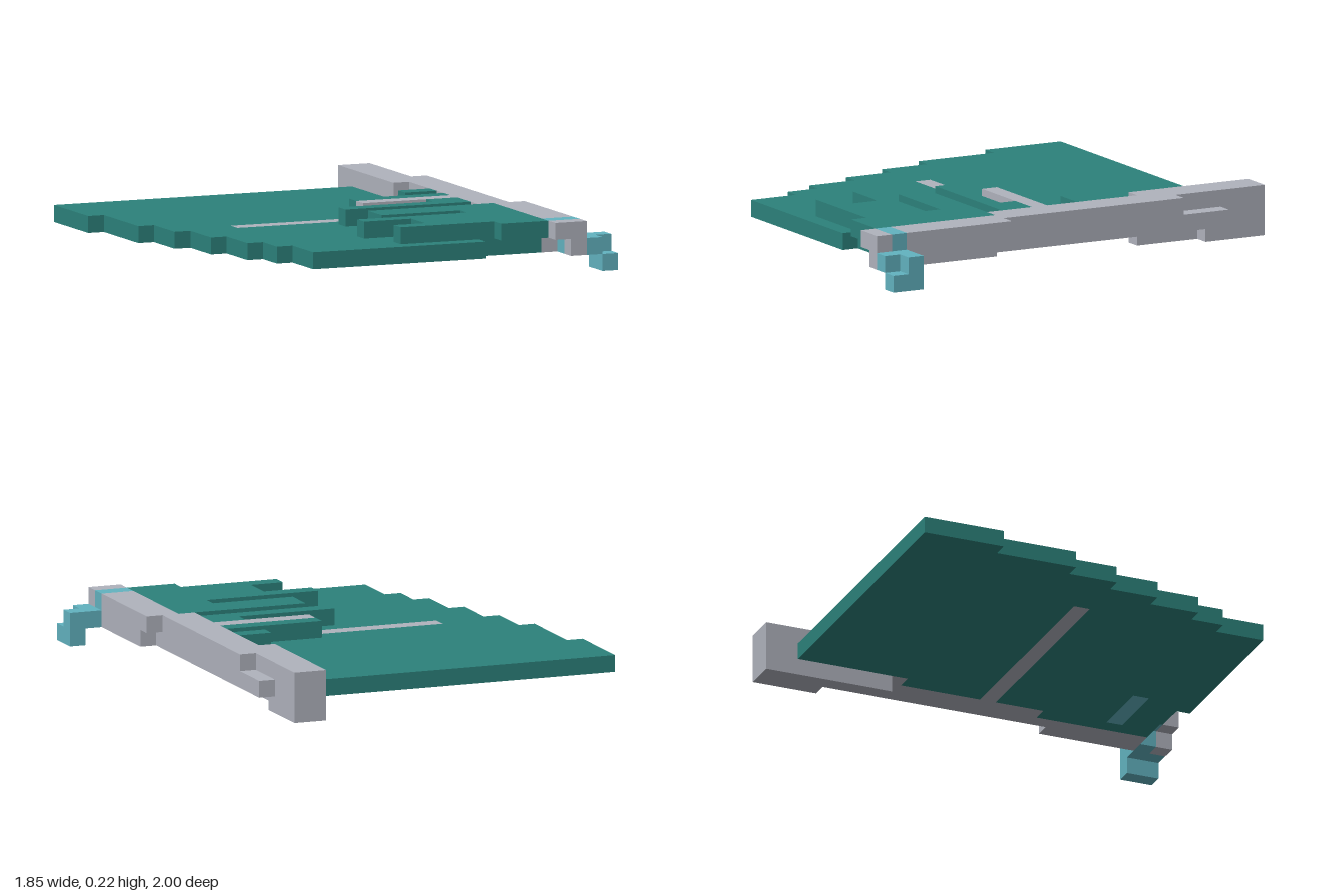
import * as THREE from 'three';
import { mergeGeometries } from 'three/addons/utils/BufferGeometryUtils.js';

const U = 2 / 27; // one block; the model is 25 x 3 x 27 blocks

// Block-built part from runs [x0, x1, y0, y1, z0, z1] in block counts (ends exclusive)
function part(name, material, runs) {
  const boxes = runs.map(([x0, x1, y0, y1, z0, z1]) =>
    new THREE.BoxGeometry((x1 - x0) * U, (y1 - y0) * U, (z1 - z0) * U).translate(
      ((x0 + x1) / 2 - 12.5) * U, ((y0 + y1) / 2) * U, ((z0 + z1) / 2 - 13.5) * U));
  const mesh = new THREE.Mesh(mergeGeometries(boxes), material);
  mesh.name = name;
  return mesh;
}

function flat(name, color) {
  const m = new THREE.MeshStandardMaterial({ color });
  m.name = name;
  return m;
}

export function createModel() {
  const green = flat('teal green', 0x2c827b);
  const gray = flat('pole gray', 0xb0b3bd);
  const cyan = flat('light cyan', 0x62b3c0);
  const model = new THREE.Group();
  model.name = 'flag';

  // Thin sheet with a stepped free edge: [x0, x1, z0, z1]
  const sheet = [
    [0, 19, 2, 7], [1, 19, 7, 9], [1, 20, 9, 12], [2, 20, 12, 14],
    [3, 20, 15, 18], [4, 21, 18, 21], [5, 21, 21, 22],
    [5, 16, 22, 23], [20, 21, 22, 23], [6, 21, 23, 25], [6, 17, 25, 26],
  ].map(([a, b, c, d]) => [a, b, 1, 2, c, d]);
  // one block of sheet beside the rib's tip
  sheet.push([2, 6, 1, 2, 14, 15]);
  model.add(part('sheet', green, sheet));

  // Raised folds along the pole
  model.add(part('folds', green, [
    [18, 20, 11, 12], [14, 20, 13, 14], [18, 20, 15, 16], [12, 20, 16, 17],
    [13, 21, 18, 20], [18, 21, 20, 21], [11, 21, 21, 22], [14, 21, 22, 24],
    [12, 21, 24, 25], [18, 21, 25, 26],
  ].map(([a, b, c, d]) => [a, b, 2, 3, c, d])));

  // Rib running through the sheet, raised near the pole
  model.add(part('rib', gray, [[6, 20, 1, 2, 14, 15], [14, 20, 2, 3, 14, 15]]));

  // Pole, stepping sideways along its length
  model.add(part('pole', gray, [
    [19, 20, 0, 1, 0, 8], [20, 21, 0, 1, 0, 4],
    [19, 20, 1, 2, 0, 9], [20, 21, 1, 2, 0, 18],
    [21, 22, 1, 2, 3, 25], [22, 23, 1, 2, 19, 25], [22, 23, 1, 2, 26, 27],
    [19, 20, 2, 3, 0, 8], [20, 21, 2, 3, 0, 18],
    [21, 22, 2, 3, 6, 25], [22, 23, 2, 3, 18, 25], [21, 23, 2, 3, 26, 27],
  ]));

  // Binding around the pole with a hanging end
  model.add(part('binding', cyan, [
    [21, 23, 2, 3, 25, 26], [22, 25, 1, 2, 25, 26],
    [23, 24, 1, 2, 26, 27], [24, 25, 0, 1, 25, 27],
  ]));

  // Inlaid strip on the underside
  model.add(part('undersideStrip', cyan, [[16, 20, 1, 2, 22, 23]]));
  return model;
}
